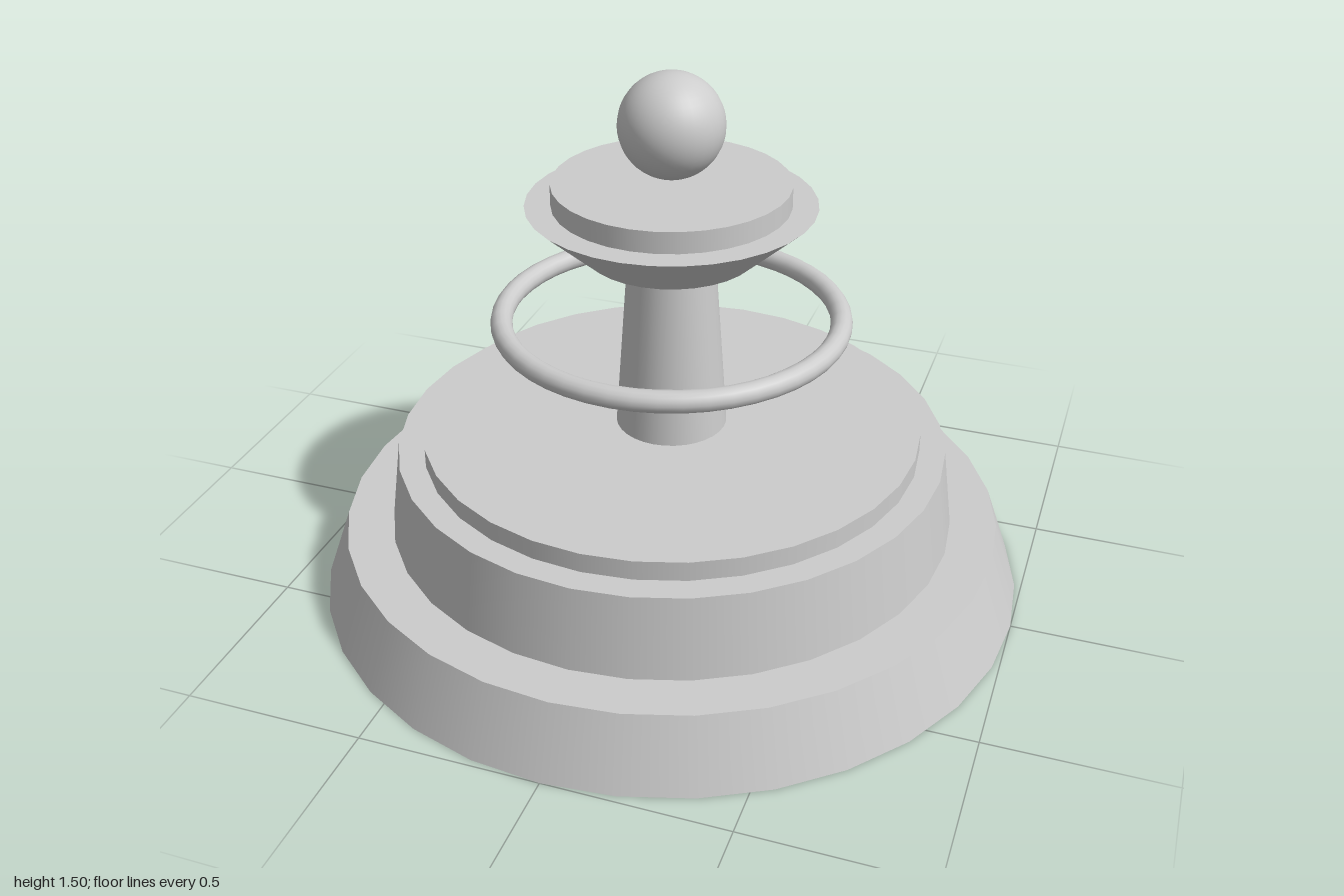
import * as THREE from 'three';

export function createModel() {
  const model = new THREE.Group();
  const stone = new THREE.MeshStandardMaterial({ color: 0xcccccc });
  stone.name = 'pale grey stone';

  const add = (name, geometry, y) => {
    const mesh = new THREE.Mesh(geometry, stone);
    mesh.name = name;
    mesh.position.y = y;
    model.add(mesh);
    return mesh;
  };

  // Round tiers from the ground up: name, bottom radius, top radius, bottom y, top y
  const tiers = [
    ['basinBase', 1, 0.93, 0, 0.2],
    ['middleTier', 0.8, 0.77, 0.2, 0.43],
    ['lowerWaterDisc', 0.698, 0.698, 0.43, 0.485],
    ['column', 0.155, 0.118, 0.485, 1.005],
    ['upperBowl', 0.235, 0.39, 1.005, 1.145],
    ['upperWaterDisc', 0.32, 0.32, 1.145, 1.205],
  ];
  for (const [name, bottom, top, y0, y1] of tiers) {
    add(name, new THREE.CylinderGeometry(top, bottom, y1 - y0, 32), (y0 + y1) / 2);
  }

  // Ring floating around the column
  add('ring', new THREE.TorusGeometry(0.464, 0.03, 16, 48).rotateX(Math.PI / 2), 0.807);

  // Ball hovering over the upper disc
  add('ball', new THREE.SphereGeometry(0.142, 32, 24), 1.362);

  return model;
}
